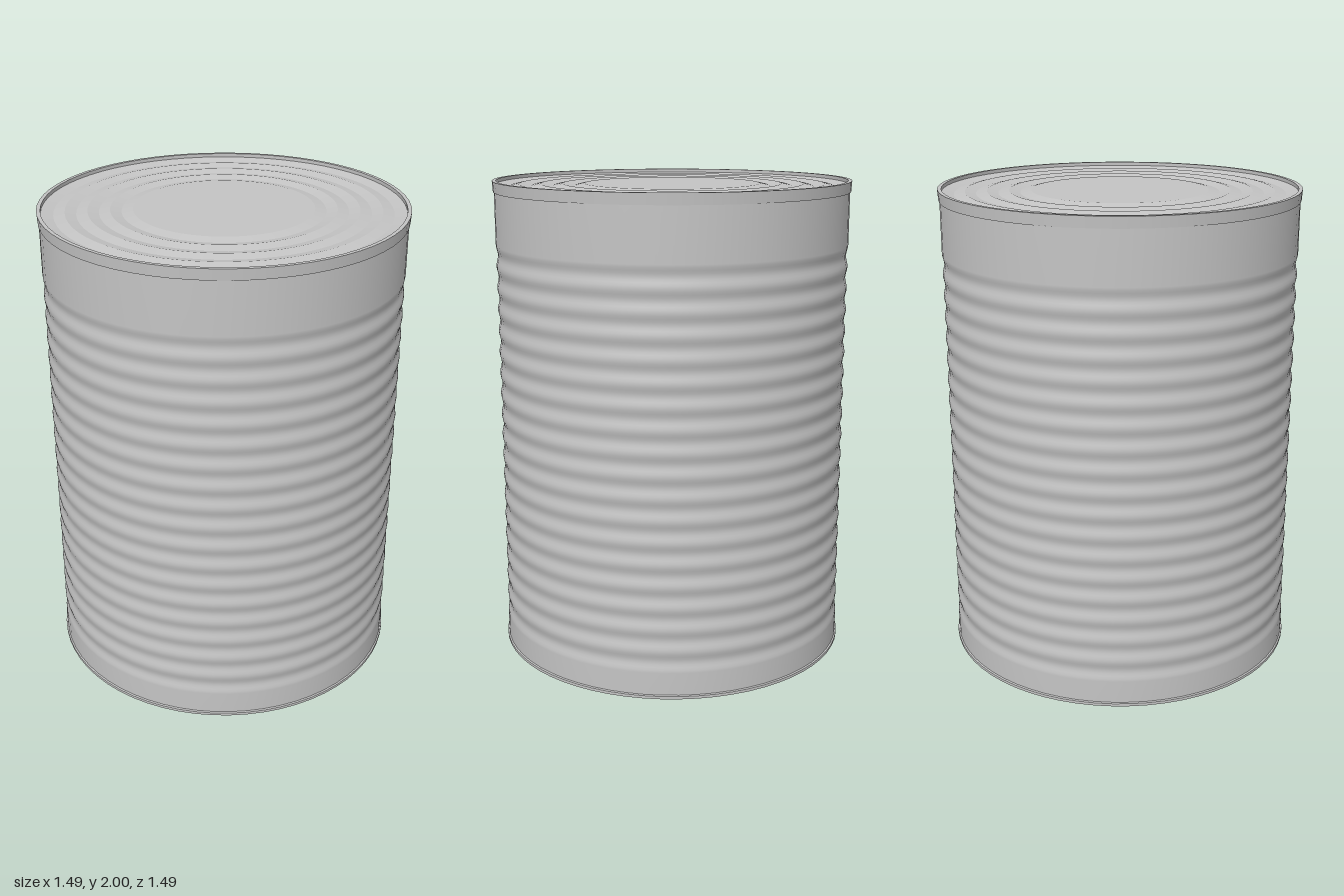
import * as THREE from 'three';

const SEGMENTS = 64;

export function createModel() {
  const can = new THREE.Group();
  can.name = 'tinCan';
  const steel = new THREE.MeshStandardMaterial({ color: 0xc4c4c4 });
  steel.name = 'steel';

  // Revolve a profile of [radius, y] points, listed bottom to top or outside to inside
  const revolve = (profile, name, parent = can) => {
    const points = profile.map(([r, y]) => new THREE.Vector2(r, y));
    const mesh = new THREE.Mesh(new THREE.LatheGeometry(points, SEGMENTS), steel);
    mesh.name = name;
    parent.add(mesh);
  };

  // Revolve each straight piece of a profile on its own, so every edge stays sharp
  const revolveSharp = (profile, name) => {
    const group = new THREE.Group();
    group.name = name;
    for (let i = 0; i < profile.length - 1; i++) {
      revolve([profile[i], profile[i + 1]], `${name}Band${i + 1}`, group);
    }
    can.add(group);
  };

  // Side wall: plain bands at both ends, rounded grooves between them
  const R = 0.739, DEPTH = 0.008, GROOVES = 18, STEPS = 8;
  const y0 = 0.11, y1 = 1.74;
  const wall = [[R, 0.012]];
  for (let i = 0; i <= GROOVES * STEPS; i++) {
    const t = i / STEPS;
    const inset = DEPTH * (1 - Math.cos(t * Math.PI * 2)) / 2;
    wall.push([R - inset, y0 + (y1 - y0) * t / GROOVES]);
  }
  wall.push([R, 1.955]);
  revolve(wall, 'ribbedWall');

  // Flat base with its thin seam
  revolveSharp([[0, 0], [0.745, 0], [0.745, 0.012], [R, 0.015]], 'base');

  // Rolled rim around the top
  const LID = 1.985;
  revolveSharp([[R, 1.955], [0.743, 1.955], [0.746, 2], [0.73, 2], [0.73, LID]], 'topRim');

  // Lid with concentric pressed ridges around a flat centre
  const lid = [[0.73, LID]];
  for (let i = 0; i < 8; i++) {
    lid.push([0.68 - i * 0.045, i % 2 ? LID : LID - 0.009]);
  }
  lid.push([0, LID]);
  revolveSharp(lid, 'lid');

  return can;
}
